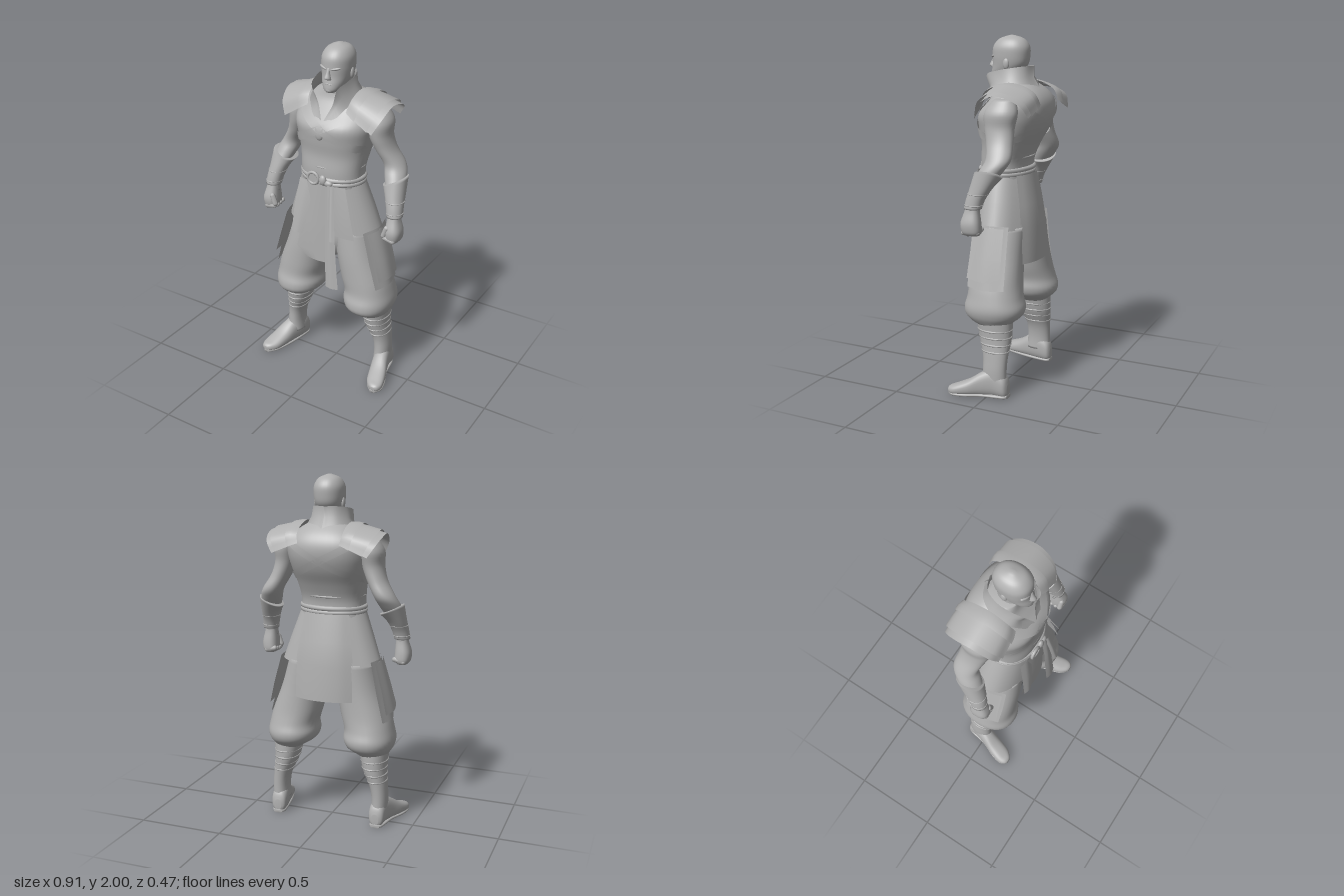
import * as THREE from 'three';

const grey = new THREE.MeshStandardMaterial({ color: 0xb0b0b0, side: THREE.DoubleSide });
grey.name = 'stone grey';
const V = (p) => new THREE.Vector3(...p);

// Catmull-Rom blend of the cross-sections [x, y, z, rx, rz, tilt] at index v
function sectionAt(secs, v) {
  const n = secs.length - 1, i = Math.min(Math.floor(v), n - 1), t = v - i;
  const g = (k, c) => secs[Math.max(0, Math.min(n, k))][c] || 0;
  return [0, 1, 2, 3, 4, 5].map((c) => {
    const [a, b, d, e] = [g(i - 1, c), g(i, c), g(i + 1, c), g(i + 2, c)];
    return 0.5 * (2 * b + (d - a) * t + (2 * a - 5 * b + 4 * d - e) * t * t + (3 * b - a - 3 * d + e) * t * t * t);
  });
}

function build(pos, idx) {
  const g = new THREE.BufferGeometry();
  g.setAttribute('position', new THREE.Float32BufferAttribute(pos, 3));
  g.setIndex(idx);
  g.computeVertexNormals();
  return g;
}

// Closed skin over horizontal super-ellipse sections, listed from the bottom up
function loft(secs, power = 2.2, seg = 32, sub = 5) {
  const pos = [], idx = [], rings = (secs.length - 1) * sub;
  const sp = (c) => Math.sign(c) * Math.abs(c) ** (2 / power);
  for (let r = 0; r <= rings; r++) {
    const [x, y, z, rx, rz, tilt] = sectionAt(secs, r / sub);
    for (let j = 0; j < seg; j++) {
      const a = (j / seg) * Math.PI * 2, c = sp(Math.cos(a));
      pos.push(x + rx * c, y + tilt * c, z + rz * sp(Math.sin(a)));
      const p = r * seg + j, q = r * seg + ((j + 1) % seg);
      if (r < rings) idx.push(p, p + seg, q, q, p + seg, q + seg);
    }
  }
  const last = secs.length - 1, base = pos.length / 3, top = rings * seg;
  pos.push(...secs[0].slice(0, 3), ...secs[last].slice(0, 3));
  for (let j = 0; j < seg; j++) {
    const k = (j + 1) % seg;
    idx.push(base, j, k, base + 1, top + k, top + j);
  }
  return build(pos, idx);
}

// Open cloth or plate through rows of guide points
function sheet(rows, n = 16) {
  const pos = [], idx = [];
  rows.forEach((row, r) => {
    new THREE.CatmullRomCurve3(row.map(V)).getPoints(n).forEach((p, j) => {
      pos.push(p.x, p.y, p.z);
      const k = r * (n + 1) + j;
      if (r < rows.length - 1 && j < n) idx.push(k, k + n + 1, k + 1, k + 1, k + n + 1, k + n + 2);
    });
  });
  return build(pos, idx);
}

// Curved skirt panel between two angles (0 = front); levels are [y, rx, rz, z]
function panel(a0, a1, levels) {
  return sheet(levels.map(([y, rx, rz, z]) => Array.from({ length: 6 }, (_, i) => {
    const a = THREE.MathUtils.degToRad(a0 + ((a1 - a0) * i) / 5);
    return [rx * Math.sin(a), y, z + rz * Math.cos(a)];
  })));
}

// Hanging strip whose rows are [left x, right x, y, z]
const strip = (rows) => sheet(rows.map(([a, b, y, z]) => [[a, y, z - 0.005], [(a + b) / 2, y, z + 0.005], [b, y, z - 0.005]]), 6);

// Rope around an ellipse
function hoop(x, y, z, rx, rz, r) {
  const pts = Array.from({ length: 24 }, (_, i) => {
    const a = (i / 24) * Math.PI * 2;
    return new THREE.Vector3(x + rx * Math.cos(a), y, z + rz * Math.sin(a));
  });
  return new THREE.TubeGeometry(new THREE.CatmullRomCurve3(pts, true), 48, r, 8, true);
}

function ball(x, y, z, rx, ry, rz) {
  return new THREE.SphereGeometry(1, 20, 14).scale(rx, ry, rz).translate(x, y, z);
}

function mirrored(geo) {
  const g = geo.clone().scale(-1, 1, 1), a = g.index.array;
  for (let i = 0; i < a.length; i += 3) [a[i], a[i + 1]] = [a[i + 1], a[i]];
  g.computeVertexNormals();
  return g;
}

const torso = [
  [0, 1.18, 0.02, 0.19, 0.13], [0, 1.3, 0.028, 0.184, 0.132], [0, 1.4, 0.006, 0.198, 0.148],
  [0, 1.49, -0.014, 0.22, 0.18], [0, 1.57, -0.027, 0.236, 0.195], [0, 1.64, -0.055, 0.228, 0.165],
  [0, 1.7, -0.06, 0.175, 0.125], [0, 1.76, -0.03, 0.08, 0.08]];

// Band lying on the chest (side 1) or the back (side -1)
function strap(side, x0, y0, x1, y1, w) {
  const edge = (off) => Array.from({ length: 13 }, (_, i) => {
    const x = x0 + ((x1 - x0) * i) / 12, y = y0 + ((y1 - y0) * i) / 12 + off;
    let lo = 0, hi = torso.length - 1;
    for (let k = 0; k < 24; k++) sectionAt(torso, (lo + hi) / 2)[1] < y ? (lo = (lo + hi) / 2) : (hi = (lo + hi) / 2);
    const [, , z, rx, rz] = sectionAt(torso, lo);
    const d = Math.max(0, 1 - Math.abs(x / (rx + 0.006)) ** 2.4) ** (1 / 2.4);
    return [x, y, z + side * (rz + 0.009) * d];
  });
  return sheet([edge(w / 2), edge(0), edge(-w / 2)], 24);
}

export function createModel() {
  const model = new THREE.Group();
  const add = (name, geo) => {
    const m = new THREE.Mesh(geo, grey);
    m.name = name;
    model.add(m);
  };
  const pair = (name, geo) => {
    add('left ' + name, geo);
    add('right ' + name, mirrored(geo));
  };

  // Head and neck
  const hx = 0.015;
  add('neck', loft([[hx, 1.64, -0.03, 0.085, 0.085], [hx, 1.74, -0.015, 0.066, 0.07], [hx, 1.83, -0.015, 0.066, 0.07]]));
  add('head', loft([[hx, 1.752, 0.078, 0.025, 0.025], [hx, 1.768, 0.06, 0.045, 0.055], [hx, 1.8, 0.03, 0.065, 0.083],
    [hx, 1.84, 0.006, 0.078, 0.1], [hx, 1.89, 0, 0.084, 0.106], [hx, 1.94, -0.002, 0.081, 0.102],
    [hx, 1.98, -0.004, 0.056, 0.07], [hx, 2, -0.004, 0.01, 0.012]]));
  add('nose', loft([[hx, 1.826, 0.106, 0.02, 0.014], [hx, 1.836, 0.112, 0.018, 0.021], [hx, 1.86, 0.106, 0.011, 0.015], [hx, 1.888, 0.1, 0.009, 0.008]], 2, 12));
  add('mouth', ball(hx, 1.801, 0.105, 0.026, 0.006, 0.009));
  add('chin', ball(hx, 1.768, 0.098, 0.026, 0.018, 0.018));
  for (const s of [-1, 1]) {
    add('ear', ball(hx + s * 0.08, 1.848, -0.005, 0.011, 0.03, 0.018));
    add('brow', ball(0, 0, 0, 0.03, 0.008, 0.012).rotateY(s * 0.35).rotateZ(s * 0.2).translate(hx + s * 0.036, 1.884, 0.091));
  }

  // Torso, collar and harness
  add('torso', loft(torso, 2.4, 40));
  pair('collar', sheet([
    [[0.005, 1.6, 0.145], [0.045, 1.69, 0.112], [0.08, 1.785, 0.12], [0.098, 1.81, 0.05], [0.098, 1.825, -0.03], [0.065, 1.835, -0.1], [0, 1.835, -0.128]],
    [[0.005, 1.57, 0.158], [0.06, 1.675, 0.105], [0.095, 1.74, 0.085], [0.108, 1.755, 0.025], [0.108, 1.77, -0.04], [0.07, 1.775, -0.1], [0, 1.775, -0.128]],
    [[0.01, 1.535, 0.172], [0.085, 1.64, 0.115], [0.125, 1.69, 0.068], [0.14, 1.71, 0.01], [0.135, 1.715, -0.06], [0.09, 1.715, -0.13], [0, 1.715, -0.168]]], 36));
  for (const s of [-1, 1]) {
    add('chest strap', strap(1, s * 0.165, 1.65, -s * 0.215, 1.45, 0.05));
    add('back strap', strap(-1, s * 0.18, 1.64, -s * 0.205, 1.44, 0.045));
  }
  add('chest knot', ball(-0.005, 1.535, 0.168, 0.026, 0.036, 0.012));

  // Layered shoulder plates: straight slope outwards, narrowing towards the front and back hems
  const arch = (x, lift) => {
    const d = x - 0.15, top = 1.742 - d * 0.27 + lift, taper = Math.max(0, d) * 0.25;
    return [[x - 0.01 - taper, 1.65 - d * 0.48, 0.1 + lift], [x - taper * 0.4, top - 0.035 - d * 0.12, 0.062 + lift], [x, top, -0.03],
      [x, top - 0.015, -0.13], [x - taper * 0.4, top - 0.055, -0.195 - lift], [x - 0.01 - taper, 1.635 - d * 0.3, -0.22 - lift]];
  };
  pair('outer shoulder plate', sheet([arch(0.2, 0), arch(0.265, 0), arch(0.33, 0)], 24));
  pair('middle shoulder plate', sheet([arch(0.16, 0.004), arch(0.23, 0.009), arch(0.3, 0.011)], 24));
  pair('inner shoulder band', sheet([arch(0.13, 0.002), arch(0.165, 0.012), arch(0.2, 0.014)], 24));

  // Arms, bracers and fists
  pair('arm', loft([[0.4, 1.06, 0.05, 0.035, 0.04], [0.398, 1.12, 0.042, 0.036, 0.04], [0.38, 1.22, 0.008, 0.05, 0.055], [0.355, 1.3, -0.042, 0.06, 0.066],
    [0.33, 1.36, -0.072, 0.058, 0.07], [0.285, 1.44, -0.058, 0.055, 0.076], [0.258, 1.52, -0.045, 0.06, 0.085],
    [0.25, 1.6, -0.05, 0.068, 0.093], [0.225, 1.67, -0.06, 0.05, 0.06]], 2.1));
  pair('bracer', loft([[0.402, 1.1, 0.045, 0.044, 0.048], [0.394, 1.15, 0.032, 0.047, 0.052],
    [0.38, 1.21, 0.006, 0.055, 0.062], [0.362, 1.28, -0.03, 0.065, 0.077, 0.03]]));
  for (const [y, x, z, r] of [[1.12, 0.4, 0.04, 0.045], [1.18, 0.388, 0.02, 0.051]]) pair('bracer band', hoop(x, y, z, r, r + 0.005, 0.003));
  pair('fist', loft([[0.405, 0.955, 0.052, 0.03, 0.045], [0.405, 0.975, 0.052, 0.043, 0.055], [0.407, 1.02, 0.055, 0.045, 0.056], [0.402, 1.08, 0.05, 0.035, 0.042], [0.4, 1.12, 0.045, 0.03, 0.035]], 2.6));
  for (let i = 0; i < 4; i++) {
    pair('finger', new THREE.CapsuleGeometry(0.0155, 0.05, 4, 10).rotateZ(1.35).translate(0.394, 0.968 + Math.abs(i - 1) * 0.004, 0.094 - i * 0.027));
  }
  pair('thumb', new THREE.CapsuleGeometry(0.016, 0.05, 4, 10).rotateZ(-0.35).translate(0.372, 1.015, 0.095));

  // Baggy trousers gathered below the knee
  add('hips', loft([[0, 0.77, 0, 0.1, 0.1], [0, 0.87, 0, 0.22, 0.14], [0, 1, 0, 0.225, 0.145], [0, 1.13, 0.01, 0.205, 0.14], [0, 1.24, 0.025, 0.185, 0.13]]));
  pair('trouser leg', loft([[0.262, 0.415, -0.015, 0.075, 0.092], [0.252, 0.435, 0, 0.1, 0.125], [0.238, 0.47, 0, 0.134, 0.165],
    [0.234, 0.515, -0.004, 0.147, 0.174], [0.23, 0.575, -0.004, 0.141, 0.158], [0.207, 0.66, 0.002, 0.142, 0.15], [0.168, 0.8, 0.005, 0.128, 0.145], [0.13, 0.96, 0, 0.12, 0.14]]));

  // Wrapped calves and boots
  pair('calf', loft([[0.308, 0.08, -0.033, 0.047, 0.074], [0.31, 0.16, -0.036, 0.046, 0.07], [0.3, 0.24, -0.036, 0.05, 0.074],
    [0.275, 0.34, -0.026, 0.068, 0.094], [0.265, 0.45, -0.015, 0.084, 0.105]]));
  for (const [y, x, z, rx, rz] of [[0.27, 0.292, -0.033, 0.053, 0.078], [0.31, 0.282, -0.029, 0.061, 0.086], [0.35, 0.273, -0.025, 0.068, 0.094], [0.39, 0.27, -0.02, 0.074, 0.098]])
    pair('calf wrap', hoop(x, y, z, rx, rz, 0.006));
  // Boots run along z: sections are [x, z, -height, half width, half height]
  pair('boot', loft([[0.305, -0.118, -0.05, 0.02, 0.03], [0.306, -0.1, -0.066, 0.043, 0.064], [0.31, -0.04, -0.086, 0.048, 0.084],
    [0.328, 0.03, -0.073, 0.05, 0.071], [0.35, 0.1, -0.05, 0.055, 0.048], [0.37, 0.17, -0.034, 0.052, 0.032],
    [0.38, 0.207, -0.03, 0.033, 0.022], [0.382, 0.22, -0.03, 0.012, 0.01]], 2.4).rotateX(Math.PI / 2));
  pair('boot sole', loft([[0.305, -0.118, -0.011, 0.026, 0.011], [0.307, -0.09, -0.011, 0.041, 0.011], [0.325, 0.02, -0.011, 0.045, 0.011],
    [0.354, 0.11, -0.011, 0.054, 0.011], [0.373, 0.18, -0.011, 0.048, 0.011], [0.38, 0.218, -0.011, 0.016, 0.011]], 3, 20).rotateX(Math.PI / 2));

  // Skirt panels
  pair('side skirt', panel(18, 145, [[1.24, 0.192, 0.137, 0.025], [1.1, 0.243, 0.155, 0.012], [0.95, 0.295, 0.165, 0]]));
  add('back skirt', panel(138, 222, [[1.24, 0.2, 0.143, 0.02], [1.08, 0.232, 0.164, 0.006], [0.95, 0.258, 0.178, 0], [0.75, 0.265, 0.186, 0]]));
  pair('thigh flap', sheet([
    [[0.25, 0.98, 0.125], [0.285, 0.98, 0.01], [0.265, 0.98, -0.1]],
    [[0.292, 0.8, 0.125], [0.322, 0.8, 0.01], [0.3, 0.8, -0.1]],
    [[0.335, 0.635, 0.12], [0.362, 0.63, 0.01], [0.34, 0.635, -0.105]]]));
  pair('outer thigh flap', sheet([
    [[0.27, 0.97, 0.11], [0.295, 0.97, 0.02], [0.285, 0.97, -0.08]],
    [[0.322, 0.8, 0.112], [0.342, 0.8, 0.02], [0.33, 0.8, -0.085]],
    [[0.352, 0.69, 0.115], [0.37, 0.68, 0.02], [0.355, 0.68, -0.09]]]));
  add('front skirt', strip([[-0.09, 0.06, 1.24, 0.166], [-0.12, 0.065, 1, 0.174], [-0.16, 0.065, 0.81, 0.175], [-0.09, 0.06, 0.755, 0.174]]));
  add('right front flap', strip([[-0.145, -0.05, 1.24, 0.155], [-0.165, -0.07, 1.08, 0.185], [-0.175, -0.1, 0.92, 0.205]]));
  add('left front flap', strip([[0.05, 0.145, 1.24, 0.15], [0.06, 0.185, 1.08, 0.165], [0.07, 0.215, 0.94, 0.165]]));

  // Belt, buckle and sash tails
  for (const [y, r] of [[1.245, 0.013], [1.268, 0.014]]) add('belt cord', hoop(0, y, 0.026, 0.184, 0.134, r));
  add('waist wrap', hoop(0, 1.335, 0.02, 0.184, 0.134, 0.006));
  add('buckle ring', new THREE.TorusGeometry(0.033, 0.009, 10, 28).translate(-0.04, 1.272, 0.178));
  add('buckle disc', new THREE.CylinderGeometry(0.029, 0.029, 0.015, 24).rotateX(Math.PI / 2).translate(-0.04, 1.272, 0.174));
  add('sash knot', ball(0.02, 1.27, 0.174, 0.022, 0.03, 0.016));
  add('sash loop', ball(0.05, 1.255, 0.168, 0.028, 0.018, 0.016));
  add('long sash tail', strip([[0.035, 0.085, 1.25, 0.178], [0.045, 0.1, 1.05, 0.195], [0.05, 0.122, 0.8, 0.21], [0.06, 0.14, 0.625, 0.217]]));
  add('short sash tail', strip([[0.06, 0.095, 1.25, 0.18], [0.075, 0.11, 1.1, 0.208], [0.085, 0.13, 0.94, 0.234]]));

  return model;
}
